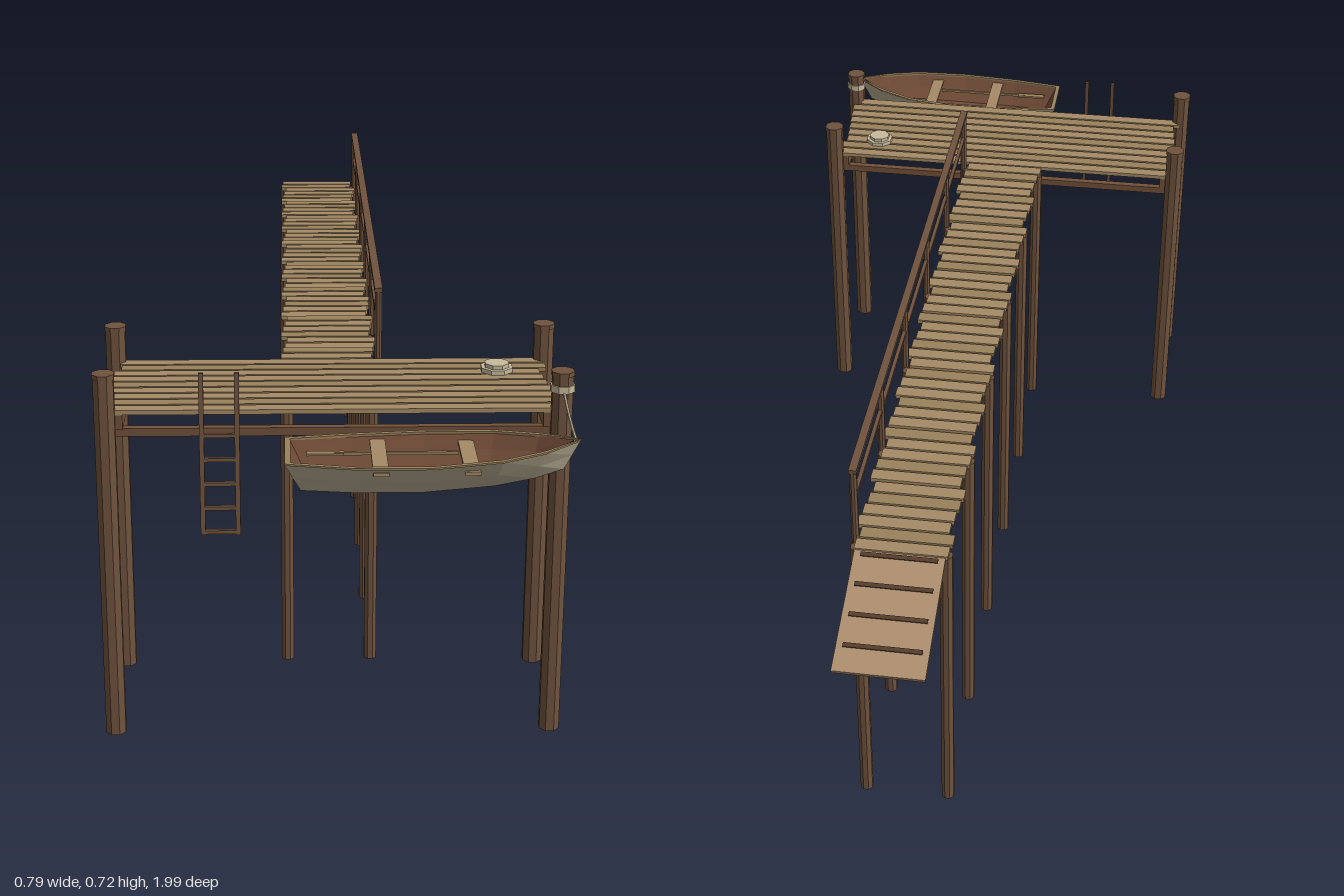
import * as THREE from 'three';

const mat = (name, color, side = THREE.FrontSide) => {
  const m = new THREE.MeshStandardMaterial({ color, side });
  m.flatShading = true;
  m.name = name;
  return m;
};

export function createModel() {
  const root = new THREE.Group();
  root.name = 'pier';
  const M = {
    pile: mat('pileBrown', 0x70533e),
    beam: mat('beamBrown', 0x73523b),
    dark: mat('darkWood', 0x563d2d),
    plankA: mat('plankTan', 0xa58b66),
    plankB: mat('plankOlive', 0x9a815c),
    ramp: mat('rampTan', 0xad8f6e),
    hull: mat('hullGrey', 0xb3a88f, THREE.DoubleSide),
    inner: mat('boatInside', 0x704b37, THREE.DoubleSide),
    rope: mat('ropeBeige', 0xc8bb9d),
  };

  const add = (parent, name, geo, m, x = 0, y = 0, z = 0) => {
    const mesh = new THREE.Mesh(geo, m);
    mesh.name = name;
    mesh.position.set(x, y, z);
    parent.add(mesh);
    return mesh;
  };
  const box = (p, name, m, w, h, d, x, y, z) => add(p, name, new THREE.BoxGeometry(w, h, d), m, x, y, z);
  const post = (p, name, m, r, y0, y1, x, z) =>
    add(p, name, new THREE.CylinderGeometry(r, r, y1 - y0, 8).rotateY(Math.PI / 8), m, x, (y0 + y1) / 2, z);
  const group = (name, parent = root) => {
    const g = new THREE.Group();
    g.name = name;
    parent.add(g);
    return g;
  };
  const wobble = (i) => ((i * 37 + 11) % 17) / 16 - 0.5;

  // Platform: four tall piles, beams and lengthwise planks
  const platform = group('platform');
  for (const x of [-0.375, 0.375]) {
    for (const z of [0.535, 0.79]) {
      post(platform, 'platformPile', M.pile, 0.0184, 0, 0.648, x, z);
      post(platform, 'pileCap', M.pile, 0.0198, 0.647, 0.655, x, z);
    }
    box(platform, 'sideBeam', M.beam, 0.014, 0.026, 0.255, Math.sign(x) * 0.353, 0.569, 0.6625);
  }
  for (const z of [0.545, 0.78]) box(platform, 'crossBeam', M.beam, 0.73, 0.014, 0.014, 0, 0.55, z);
  for (let i = 0; i < 9; i++) {
    box(platform, 'platformPlank', i % 3 === 1 ? M.plankB : M.plankA, 0.738, 0.008, 0.024,
      wobble(i) * 0.016, 0.586, 0.545 + i * 0.0292);
  }

  // Walkway: paired piles, cross joists, stringers and planks
  const walkway = group('walkway');
  for (let i = 0; i < 6; i++) {
    const z = 0.52 - i * 0.258;
    for (const x of [-0.077, 0.075]) post(walkway, 'walkwayPile', M.pile, 0.012, 0, 0.581, x, z);
    box(walkway, 'crossJoist', M.beam, 0.15, 0.014, 0.014, 0, 0.562, z);
  }
  for (const x of [-0.064, 0.064]) box(walkway, 'stringer', M.beam, 0.018, 0.018, 1.3, x, 0.573, -0.125);
  const count = 42;
  for (let i = 0; i < count; i++) {
    box(walkway, 'walkwayPlank', i % 3 === 1 ? M.plankB : M.plankA, 0.16, 0.008, 0.0265,
      -0.006 + (i % 4) * 0.0035, 0.586 + wobble(i) * 0.002, 0.515 - i * (1.288 / (count - 1)));
  }

  // Handrail along one side
  const railing = group('railing');
  for (let i = 0; i < 6; i++) post(railing, 'railPost', M.pile, 0.0068, 0.55, 0.712, 0.085, 0.522 - i * 0.251);
  box(railing, 'topRail', M.pile, 0.014, 0.008, 1.268, 0.085, 0.714, -0.105);
  box(railing, 'midRail', M.pile, 0.007, 0.007, 1.26, 0.085, 0.655, -0.105);

  // Sloping ramp with cleats
  const ramp = group('ramp');
  ramp.position.set(0, 0.547, -0.892);
  ramp.rotation.x = -Math.atan2(0.075, 0.215);
  box(ramp, 'rampBoard', M.ramp, 0.155, 0.007, 0.227, -0.001, 0, 0);
  for (let i = 0; i < 4; i++) box(ramp, 'rampCleat', M.dark, 0.132, 0.003, 0.008, -0.001, 0.004, 0.106 - i * 0.057);

  // Ladder, leaning slightly outward at the foot
  const ladder = group('ladder');
  ladder.position.set(-0.1865, 0.523, 0.819);
  ladder.rotation.x = -0.06;
  for (const x of [-0.029, 0.029]) box(ladder, 'ladderRail', M.pile, 0.008, 0.277, 0.008, x, 0, 0);
  for (let i = 0; i < 5; i++) box(ladder, 'ladderRung', M.pile, 0.056, 0.006, 0.008, 0, -0.134 + i * 0.0417, 0);

  // Rowing boat; stations: xTop, xBottom, half top, half bottom, yTop, yBottom
  const boat = group('rowingBoat');
  boat.position.z = 0.91;
  const stations = [
    [-0.08, -0.055, 0.058, 0.034, 0.563, 0.51],
    [0.03, 0.03, 0.077, 0.043, 0.562, 0.509],
    [0.15, 0.14, 0.083, 0.045, 0.564, 0.51],
    [0.26, 0.25, 0.07, 0.036, 0.569, 0.516],
    [0.33, 0.315, 0.043, 0.02, 0.573, 0.522],
    [0.39, 0.365, 0.002, 0.001, 0.579, 0.53],
  ];
  const section = ([xt, xb, w, b, yt, yb], inset) => {
    const W = Math.max(w - inset, 0.001), B = Math.max(b - inset, 0.0005), low = yb + inset;
    const side = (s) => [
      [xt, yt, s * W],
      [(xt + xb) / 2, (yt + low) / 2, s * (W * 0.58 + B * 0.42)],
      [xb, low, s * B],
    ];
    return [...side(1), ...side(-1).reverse()];
  };
  const loft = (rows, capFirst) => {
    const v = [];
    const quad = (a, b, c, d) => v.push(...a, ...b, ...c, ...a, ...c, ...d);
    for (let i = 0; i + 1 < rows.length; i++) {
      for (let j = 0; j + 1 < rows[i].length; j++) quad(rows[i][j], rows[i][j + 1], rows[i + 1][j + 1], rows[i + 1][j]);
    }
    if (capFirst) {
      const r = rows[0];
      quad(r[0], r[5], r[4], r[1]);
      quad(r[1], r[4], r[3], r[2]);
    }
    const g = new THREE.BufferGeometry();
    g.setAttribute('position', new THREE.Float32BufferAttribute(v, 3));
    g.computeVertexNormals();
    return g;
  };
  add(boat, 'hull', loft(stations.map((s) => section(s, 0)), true), M.hull);
  const innerStations = stations.map((s, i) => {
    const t = [...s];
    if (i === 0) { t[0] += 0.008; t[1] += 0.008; }
    if (i === 5) { t[0] -= 0.01; t[1] -= 0.01; }
    return t;
  });
  add(boat, 'hullLining', loft(innerStations.map((s) => section(s, 0.005)), true), M.inner);

  // Gunwale strips and stern board edge
  for (const s of [1, -1]) {
    const rim = stations.map(([x, , w, , y]) => {
      const zi = Math.max(w - 0.007, 0), zo = w + 0.001;
      const ring = [[zo, y - 0.001], [zo, y + 0.002], [zi, y + 0.002], [zi, y - 0.002]];
      if (s > 0) ring.reverse();
      return ring.map(([z, h]) => [x, h, s * z]).reverse();
    });
    add(boat, 'gunwale', loft(rim, false), M.plankB).material.side = THREE.DoubleSide;
  }
  box(boat, 'sternEdge', M.plankB, 0.009, 0.004, 0.116, -0.0755, 0.563, 0);

  // Seats reaching through the sides, and a pair of oars
  for (const [x, d] of [[0.07, 0.158], [0.213, 0.152]]) box(boat, 'seat', M.plankA, 0.025, 0.006, d, x, 0.553, 0);
  for (const z of [-0.036, 0.036]) {
    box(boat, 'oarShaft', M.plankB, 0.2, 0.005, 0.005, 0.1, 0.545, z);
    box(boat, 'oarBlade', M.plankB, 0.06, 0.004, 0.013, -0.015, 0.545, z);
  }

  // Mooring rope: wrap on the pile and a sagging line to the bow
  const mooring = group('mooringRope');
  post(mooring, 'ropeWrap', M.rope, 0.0212, 0.62, 0.632, 0.375, 0.79);
  const line = new THREE.QuadraticBezierCurve3(
    new THREE.Vector3(0.376, 0.622, 0.805), new THREE.Vector3(0.379, 0.592, 0.86), new THREE.Vector3(0.383, 0.579, 0.908));
  add(mooring, 'mooringLine', new THREE.TubeGeometry(line, 10, 0.0025, 6), M.rope);

  // Coil of rope lying on the deck
  const coil = group('ropeCoil');
  post(coil, 'coilLower', M.rope, 0.029, 0.59, 0.598, 0.287, 0.6);
  post(coil, 'coilUpper', M.rope, 0.022, 0.598, 0.605, 0.287, 0.6);

  return root;
}
